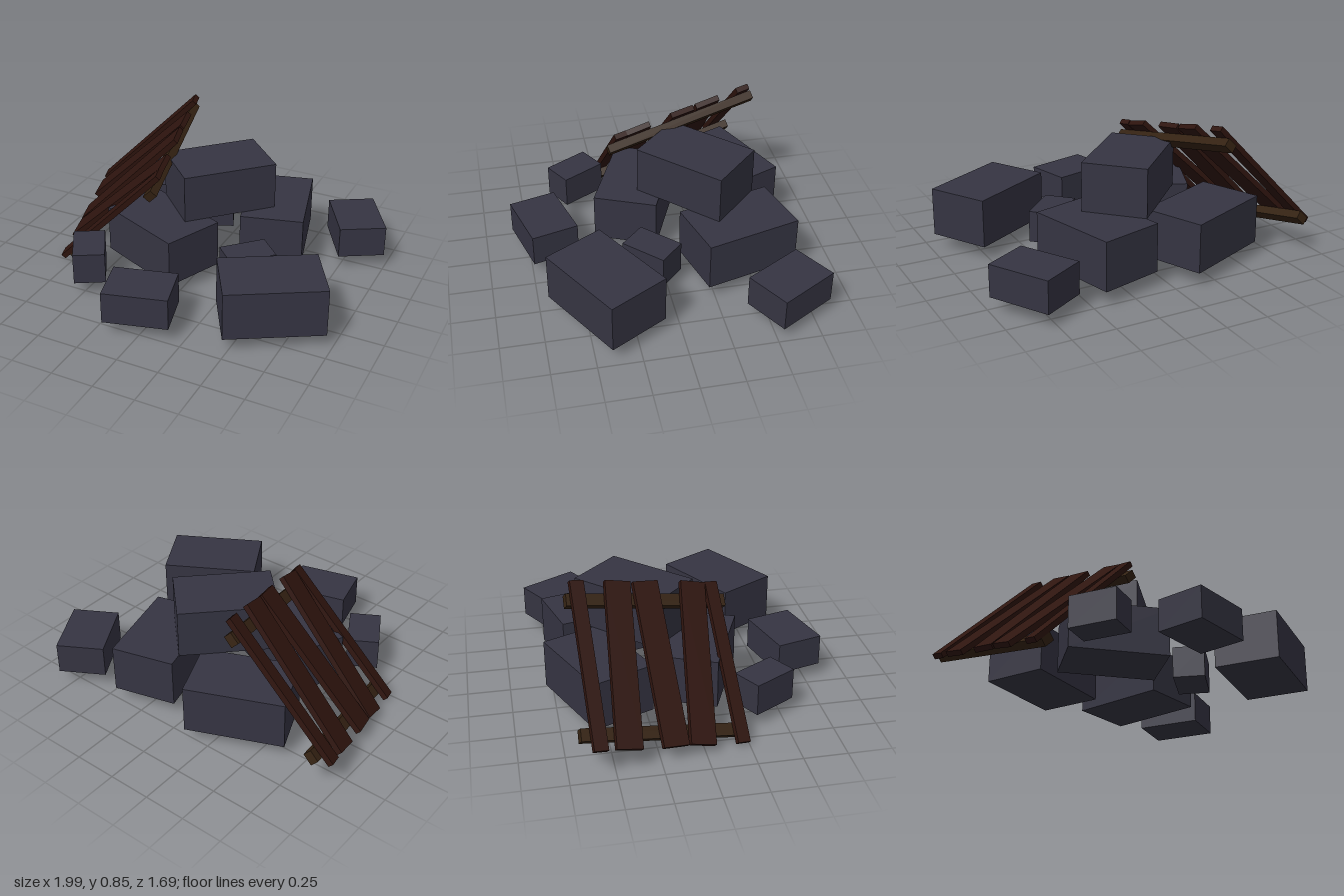
import * as THREE from 'three';

const rad = THREE.MathUtils.degToRad;
const material = (color) => new THREE.MeshStandardMaterial({ color, flatShading: true });

// Block sizes: length, height, depth
const SIZES = {
  large: [0.57, 0.285, 0.376],
  medium: [0.376, 0.188, 0.28],
  small: [0.28, 0.188, 0.186],
};

// name, size, x, base y, z, turn in degrees
const BLOCKS = [
  ['topBlock', 'large', 0.02, 0.375, -0.247, 45],
  ['backRightBlock', 'large', -0.31, 0.09, -0.51, 23],
  ['backLeftBlock', 'large', 0.324, 0.09, -0.438, -75],
  ['frontRightBlock', 'large', -0.206, 0.09, 0.07, -23],
  ['frontLeftBlock', 'large', 0.631, 0.09, 0.39, 30],
  ['looseBlockBack', 'medium', 0.78, 0.09, -0.62, -60],
  ['looseBlockFront', 'medium', -0.04, 0.09, 0.655, 15],
  ['smallBlockLeft', 'small', 0.353, 0.09, 0.078, 45],
  ['smallBlockRight', 'small', -0.519, 0.09, 0.404, -60],
];

// position along the pallet, width, skew in degrees
const SLATS = [
  [-0.405, 0.08, 2],
  [-0.209, 0.148, -2.8],
  [0.005, 0.148, 3.5],
  [0.228, 0.148, -4.5],
  [0.405, 0.075, 3.5],
];

function box(name, size, position, turn, mat) {
  const mesh = new THREE.Mesh(new THREE.BoxGeometry(...size), mat);
  mesh.name = name;
  mesh.position.set(...position);
  mesh.rotation.y = rad(turn);
  return mesh;
}

export function createModel() {
  const model = new THREE.Group();
  model.name = 'rubblePile';

  // Stone blocks, stacked and scattered
  const stone = material(0x353442);
  const blocks = new THREE.Group();
  blocks.name = 'stoneBlocks';
  for (const [name, kind, x, base, z, turn] of BLOCKS) {
    const size = SIZES[kind];
    blocks.add(box(name, size, [x, base + size[1] / 2, z], turn, stone));
  }
  model.add(blocks);

  // Wooden pallet leaning on the pile
  const pallet = new THREE.Group();
  pallet.name = 'pallet';
  pallet.position.set(-0.572, 0.431, -0.205);
  pallet.rotation.set(rad(15), 0, rad(45), 'ZYX');

  const slatWood = material(0x2e140e);
  SLATS.forEach(([z, width, skew], i) => {
    pallet.add(box(`slat${i + 1}`, [0.93, 0.033, width], [0, 0, z], skew, slatWood));
  });

  // Two rails under the slats
  const railWood = material(0x342212);
  pallet.add(box('upperRail', [0.07, 0.05, 0.945], [0.366, -0.0415, -0.008], 0, railWood));
  pallet.add(box('lowerRail', [0.07, 0.05, 0.945], [-0.376, -0.0415, -0.008], -0.8, railWood));
  model.add(pallet);

  return model;
}
